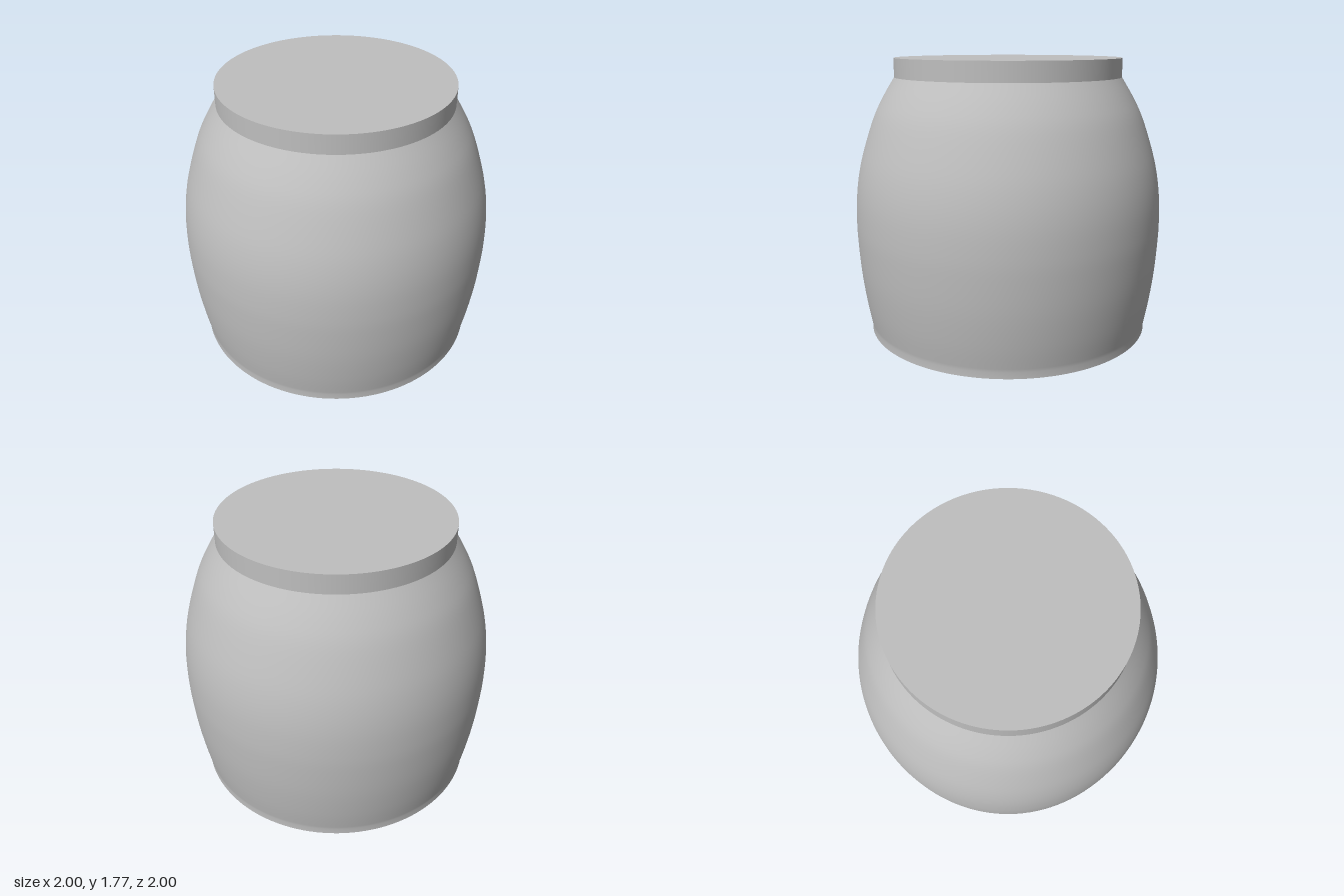
import * as THREE from 'three';

const SEGMENTS = 128;

export function createModel() {
  const group = new THREE.Group();
  group.name = 'barrelCap';
  const grey = new THREE.MeshStandardMaterial({ color: 0xbfbfbf });
  grey.name = 'grey';

  // Each surface is turned on its own so the edges between them stay sharp
  const turn = (name, points) => {
    const profile = points.map(([r, y]) => new THREE.Vector2(r, y));
    const mesh = new THREE.Mesh(new THREE.LatheGeometry(profile, SEGMENTS), grey);
    mesh.name = name;
    group.add(mesh);
  };

  // Bulging outer wall, widest below the middle
  const bulge = new THREE.SplineCurve([
    [0.928, 0.04], [0.957, 0.2], [0.983, 0.4], [0.997, 0.6], [1, 0.74], [0.993, 0.9],
    [0.972, 1.05], [0.935, 1.2], [0.868, 1.4], [0.805, 1.53], [0.73, 1.655],
  ].map(([r, y]) => new THREE.Vector2(r, y)));
  turn('bulgingWall', [[0.928, 0], ...bulge.getPoints(48).map((p) => [p.x, p.y])]);

  // Neck with a flat closed top
  turn('neck', [[0.73, 1.655], [0.73, 1.775]]);
  turn('topFace', [[0.73, 1.775], [0, 1.775]]);

  // Funnel-shaped underside leading into a blind bore
  turn('underside', [[0.555, 0.227], [0.928, 0]]);
  turn('bore', [[0.555, 1.655], [0.555, 0.227]]);
  turn('boreEnd', [[0, 1.655], [0.555, 1.655]]);

  return group;
}
